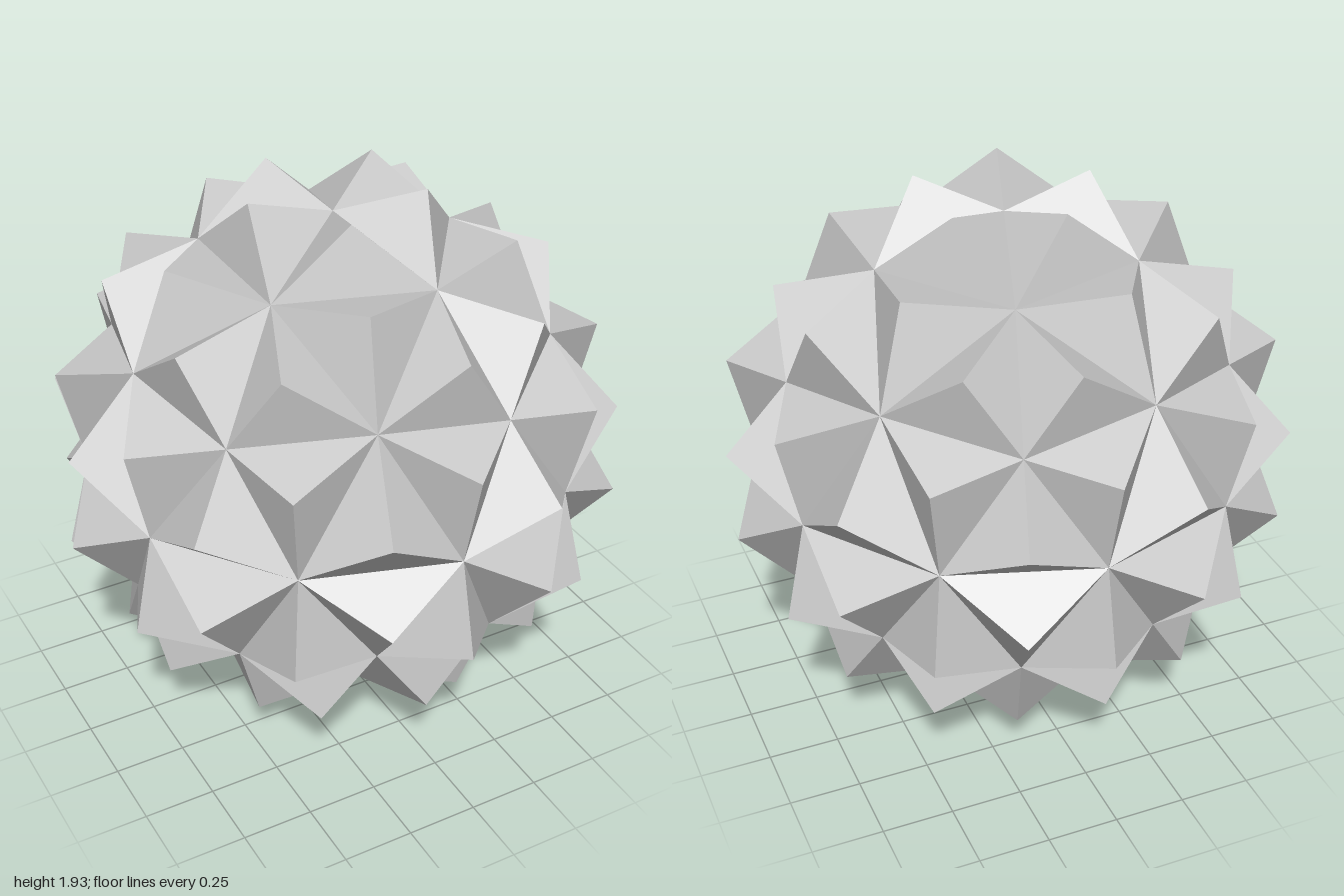
import * as THREE from 'three';

const RADIUS = 0.868; // radius of the geodesic base sphere
const SPIKE = 0.1925; // pyramid height above each base triangle

// Icosahedron standing on a corner, each face split in four and pushed out to the sphere
function geodesicSphere() {
  const y = 1 / Math.sqrt(5), r = 2 / Math.sqrt(5);
  const ring = (height, offset) => Array.from({ length: 5 }, (_, i) => {
    const a = offset + i * Math.PI * 0.4;
    return [r * Math.cos(a), height, r * Math.sin(a)];
  });
  const corners = [[0, 1, 0], ...ring(y, 0), ...ring(-y, Math.PI / 5), [0, -1, 0]];
  const faces = [];
  for (let i = 0; i < 5; i++) {
    const j = (i + 1) % 5;
    faces.push(0, 1 + j, 1 + i); // top cap
    faces.push(1 + i, 1 + j, 6 + i, 6 + i, 1 + j, 6 + j); // middle band
    faces.push(11, 6 + i, 6 + j); // bottom cap
  }
  return new THREE.PolyhedronGeometry(corners.flat(), faces, RADIUS, 1);
}

// Replace every triangle with a three-sided pyramid raised along its normal
function raisePyramids(base) {
  const pos = base.getAttribute('position');
  const points = [];
  for (let i = 0; i < pos.count; i += 3) {
    const [a, b, c] = [0, 1, 2].map(k => new THREE.Vector3().fromBufferAttribute(pos, i + k));
    const tri = new THREE.Triangle(a, b, c);
    const apex = tri.getMidpoint(new THREE.Vector3())
      .addScaledVector(tri.getNormal(new THREE.Vector3()), SPIKE);
    points.push(a, b, apex, b, c, apex, c, a, apex);
  }
  const geometry = new THREE.BufferGeometry().setFromPoints(points);
  geometry.computeVertexNormals();
  return geometry;
}

export function createModel() {
  const group = new THREE.Group();
  group.name = 'spikedGeodesicBall';
  const material = new THREE.MeshStandardMaterial({ color: 0xcccccc, flatShading: true });
  const ball = new THREE.Mesh(raisePyramids(geodesicSphere()), material);
  ball.name = 'pyramidShell';
  // Rest the lowest spikes on the ground
  ball.geometry.computeBoundingBox();
  ball.position.y = -ball.geometry.boundingBox.min.y;
  group.add(ball);
  return group;
}
